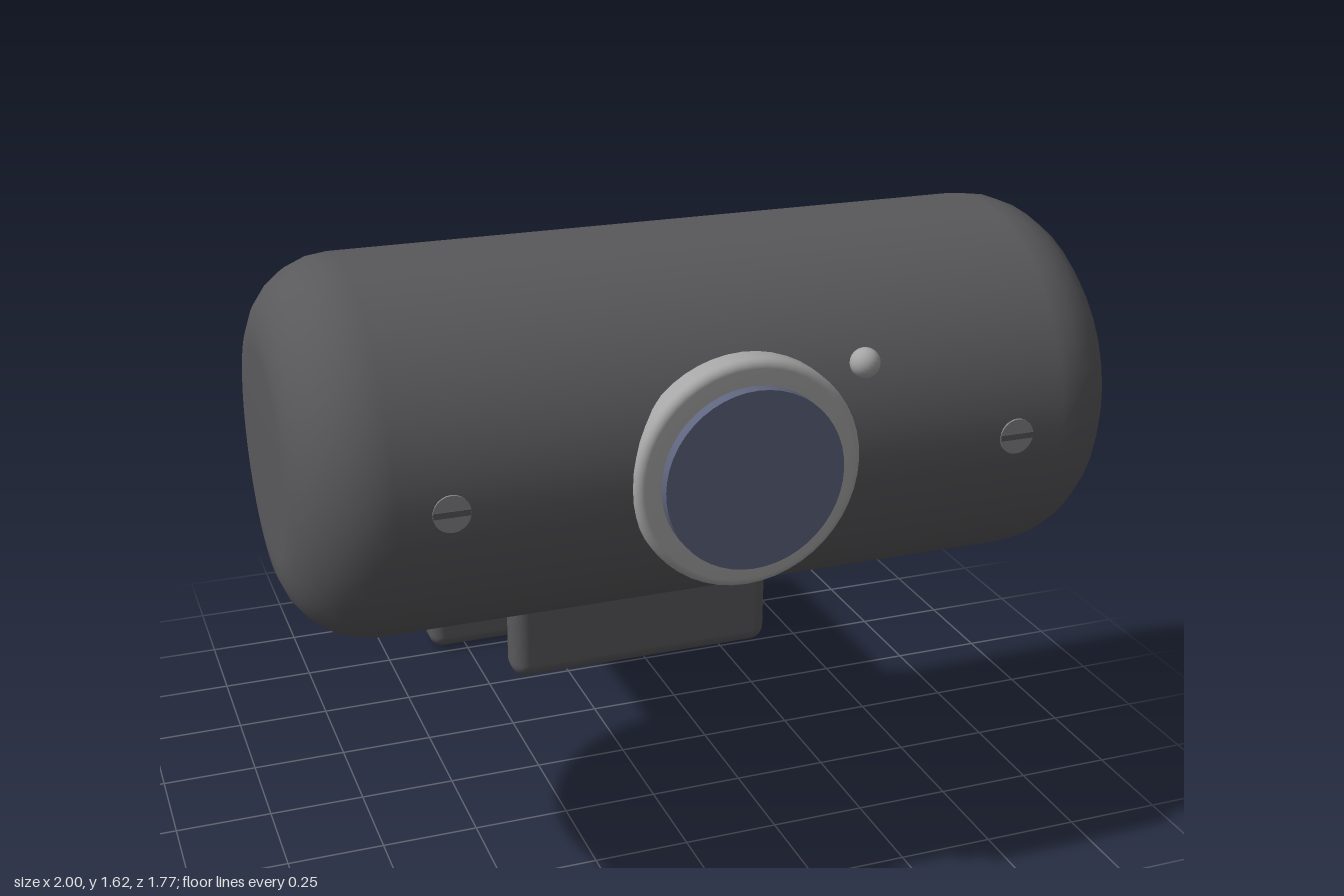
import * as THREE from 'three';
import { RoundedBoxGeometry } from 'three/addons/geometries/RoundedBoxGeometry.js';

const material = (name, color) => {
  const m = new THREE.MeshStandardMaterial({ color });
  m.name = name;
  return m;
};

export function createModel() {
  const group = new THREE.Group();
  const shell = material('charcoal shell', 0x59595c);
  const silver = material('silver trim', 0xa6a6a6);
  const steel = material('grey steel', 0x858286);
  const glass = material('blue lens glass', 0x5f657e);

  const add = (name, geometry, mat, x, y, z) => {
    const mesh = new THREE.Mesh(geometry, mat);
    mesh.name = name;
    mesh.position.set(x, y, z);
    group.add(mesh);
    return mesh;
  };
  const V = (x, y) => new THREE.Vector2(x, y);
  // Quarter arc of profile points around (cx, cy)
  const arc = (cx, cy, r, start, steps) => Array.from({ length: steps + 1 }, (_, i) => {
    const a = start + (i / steps) * Math.PI / 2;
    return V(cx + r * Math.cos(a), cy + r * Math.sin(a));
  });

  // Barrel body: rounded profile turned around the x axis, slightly deeper than tall
  const midY = 1.175, midZ = 0.369, fillet = 0.2;
  const bodyProfile = [
    V(0, -1),
    ...arc(0.445 - fillet, -1 + fillet, fillet, -Math.PI / 2, 6),
    ...arc(0.445 - fillet, 1 - fillet, fillet, 0, 6),
    V(0, 1),
  ];
  const body = new THREE.LatheGeometry(bodyProfile, 40);
  body.rotateZ(-Math.PI / 2).scale(1, 1, 0.467 / 0.445);
  add('body', body, shell, 0, midY, midZ);

  // Lens ring with softened rims
  const rim = 0.02;
  const ringProfile = [
    V(0.19, 0.775),
    ...arc(0.272 - rim, 0.775 + rim, rim, -Math.PI / 2, 4),
    ...arc(0.272 - rim, 0.855 - rim, rim, 0, 4),
    V(0.19, 0.855),
  ];
  const ring = new THREE.LatheGeometry(ringProfile, 48).rotateX(Math.PI / 2);
  add('lensRing', ring, silver, 0, midY, 0);

  // Lens
  const disc = (r, depth, sides) => new THREE.CylinderGeometry(r, r, depth, sides).rotateX(Math.PI / 2);
  add('lens', disc(0.213, 0.105, 48), glass, 0, midY, 0.8325);

  // Indicator light
  add('indicatorLight', new THREE.SphereGeometry(0.035, 20, 14), silver, 0.295, 1.39, 0.8);

  // Slotted screws on both sides of the lens
  for (const side of [-1, 1]) {
    add('screw', disc(0.043, 0.009, 24), steel, side * 0.68, midY, 0.8335);
    add('screwSlot', new THREE.BoxGeometry(0.084, 0.014, 0.002), shell, side * 0.68, midY, 0.8385);
  }

  // Hinge barrel
  const hinge = new THREE.CylinderGeometry(0.125, 0.125, 0.635, 32).rotateZ(Math.PI / 2);
  add('hinge', hinge, steel, 0, 0.705, -0.014);

  // Clip: top plate, front lip and rear leg
  const slab = (name, y0, y1, z0, z1, r) => add(
    name, new RoundedBoxGeometry(0.717, y1 - y0, z1 - z0, 4, r), shell,
    0, (y0 + y1) / 2, (z0 + z1) / 2);
  slab('clipPlate', 0.557, 0.683, -0.865, 0.155, 0.04);
  slab('clipFrontLip', 0.367, 0.61, 0.065, 0.167, 0.04);
  slab('clipRearLeg', 0, 0.635, -0.885, -0.763, 0.04);

  return group;
}
